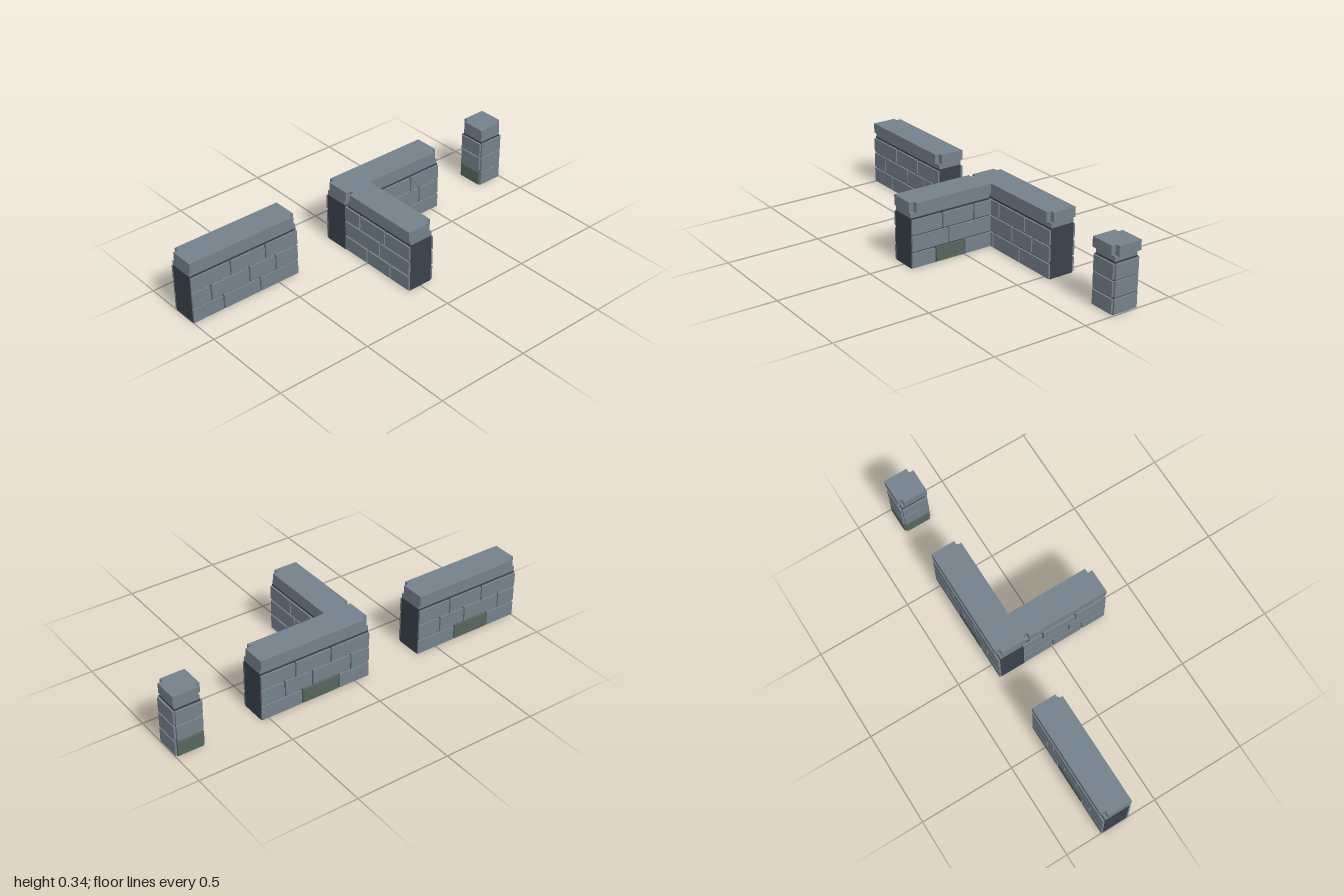
import * as THREE from 'three';

const U = 2 / 13;          // wall thickness, also the layout unit
const PROUD = 0.01;        // how far bricks stand out of the mortar
const CORE = U - 2 * PROUD;
const LEDGE = 0.13;
const GAP = 0.008;         // upright joint width
const ROWS = [[0.005, 0.08], [0.09, 0.168], [0.177, 0.253]];
const CORE_TOP = 0.262, LEDGE_TOP = 0.287, CAP_TOP = 0.339, NOTCH = 0.025;

export function createModel() {
  const stone = new THREE.MeshStandardMaterial({ color: 0x75818b });
  stone.name = 'stone';
  const mortar = new THREE.MeshStandardMaterial({ color: 0x3a414c });
  mortar.name = 'mortar';
  const moss = new THREE.MeshStandardMaterial({ color: 0x57665d });
  moss.name = 'mossy stone';

  // Box given by its x, y and z ranges
  function box(parent, name, mat, [x0, x1], [y0, y1], [z0, z1]) {
    const mesh = new THREE.Mesh(new THREE.BoxGeometry(x1 - x0, y1 - y0, z1 - z0), mat);
    mesh.position.set((x0 + x1) / 2, (y0 + y1) / 2, (z0 + z1) / 2);
    mesh.name = name;
    parent.add(mesh);
  }
  const span = (w) => [-w / 2, w / 2];

  // Coping slab with two opposite corners notched; flip picks the other diagonal
  function coping(parent, length, flip) {
    const a = length / 2, b = U / 2, n = NOTCH;
    let pts = [[-a + n, -b], [a, -b], [a, b - n], [a - n, b - n], [a - n, b],
      [-a, b], [-a, -b + n], [-a + n, -b + n]];
    if (flip) pts = pts.map(([x, z]) => [x, -z]).reverse();
    const shape = new THREE.Shape(pts.map(([x, z]) => new THREE.Vector2(x, z)));
    const geo = new THREE.ExtrudeGeometry(shape, { depth: CAP_TOP - LEDGE_TOP, bevelEnabled: false });
    geo.rotateX(Math.PI / 2).translate(0, CAP_TOP, 0);
    const mesh = new THREE.Mesh(geo, stone);
    mesh.name = 'coping';
    parent.add(mesh);
  }

  // Straight wall along x, bricked on both long sides, with bare ends
  function wall(name, length, joints, flip = false) {
    const g = new THREE.Group();
    g.name = name;
    box(g, 'mortarCore', mortar, span(length), [0, CORE_TOP], span(CORE));
    box(g, 'ledge', stone, span(length), [CORE_TOP, LEDGE_TOP], span(LEDGE));
    coping(g, length, flip);
    ROWS.forEach((y, r) => {
      const stops = [0, ...joints[r], length];
      for (let i = 0; i < stops.length - 1; i++) {
        const x0 = stops[i] - length / 2 + (i ? GAP / 2 : 0);
        const x1 = stops[i + 1] - length / 2 - (i < stops.length - 2 ? GAP / 2 : 0);
        const mossy = r === 0 && i === 1;
        box(g, 'frontBrick', stone, [x0, x1], y, [CORE / 2, U / 2]);
        box(g, 'backBrick', mossy ? moss : stone, [x0, x1], y, [-U / 2, -CORE / 2]);
      }
    });
    return g;
  }

  // Square post, bricked on all four sides
  function post() {
    const g = new THREE.Group();
    g.name = 'post';
    box(g, 'mortarCore', mortar, span(CORE), [0, CORE_TOP], span(CORE));
    box(g, 'ledge', stone, span(LEDGE), [CORE_TOP, LEDGE_TOP], span(LEDGE));
    coping(g, U, false);
    ROWS.forEach((y, r) => {
      const mossy = r === 0 ? moss : stone;
      box(g, 'frontBrick', stone, span(CORE), y, [CORE / 2, U / 2]);
      box(g, 'backBrick', mossy, span(CORE), y, [-U / 2, -CORE / 2]);
      box(g, 'leftBrick', stone, [CORE / 2, U / 2], y, span(CORE));
      box(g, 'rightBrick', mossy, [-U / 2, -CORE / 2], y, span(CORE));
    });
    return g;
  }

  const model = new THREE.Group();
  model.name = 'stoneWallSet';
  const longJoints = [[0.174, 0.388], [0.107, 0.329, 0.484], [0.222, 0.426]];
  const shortJoints = [[0.157, 0.326], [0.25], [0.102, 0.287]];
  const backZ = -1.5 * U;

  // Free-standing straight wall
  const straight = wall('straightWall', 4 * U, longJoints);
  straight.position.set(-4.5 * U, 0, backZ);

  // Corner made of a long wall and a shorter arm coming forward
  const corner = new THREE.Group();
  corner.name = 'cornerWall';
  const long = wall('cornerLongWall', 4 * U, longJoints);
  long.position.set(1.5 * U, 0, backZ);
  const arm = wall('cornerArm', 3 * U, shortJoints, true);
  arm.rotation.y = -Math.PI / 2;
  arm.position.set(0, 0, 0.5 * U);
  corner.add(long, arm);

  const pillar = post();
  pillar.position.set(6 * U, 0, backZ);

  model.add(straight, corner, pillar);
  return model;
}
